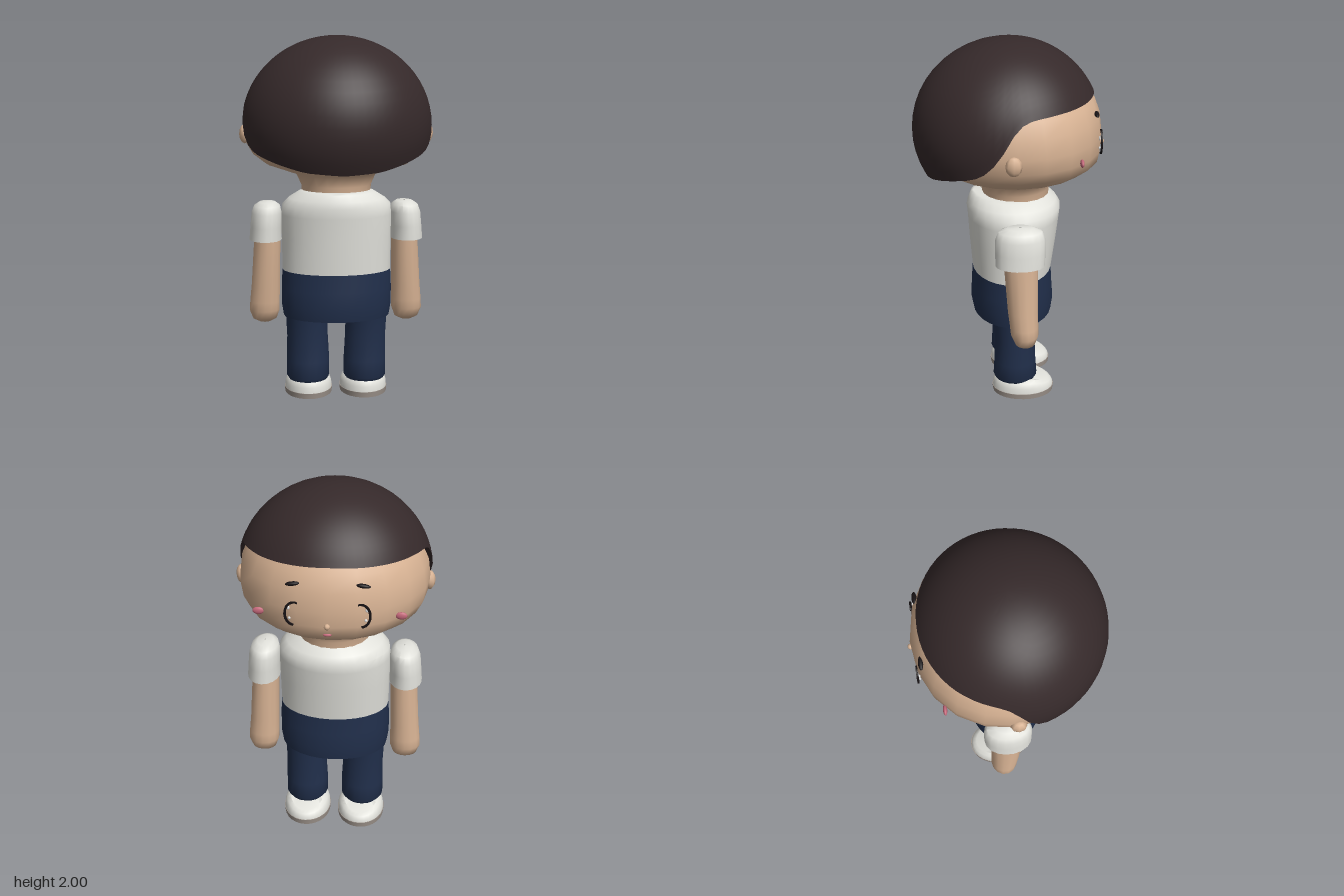
import * as THREE from 'three';
import { toCreasedNormals } from 'three/addons/utils/BufferGeometryUtils.js';

const mat = (name, color, side = THREE.FrontSide) => {
  const m = new THREE.MeshStandardMaterial({ color, side });
  m.name = name;
  return m;
};

// Closed loops of n points, stacked upwards; point(j, angle) gives [x, y, z]
function grid(rings, n, point, crease = 0.8, caps = true) {
  const pos = [], idx = [];
  for (let j = 0; j < rings; j++)
    for (let i = 0; i < n; i++) pos.push(...point(j, (i / n) * Math.PI * 2));
  for (let j = 0; j < rings - 1; j++)
    for (let i = 0; i < n; i++) {
      const a = j * n + i, b = j * n + (i + 1) % n;
      idx.push(a, b, b + n, a, b + n, a + n);
    }
  if (caps)
    for (let i = 1; i < n - 1; i++) {
      const t = (rings - 1) * n;
      idx.push(0, i + 1, i, t, t + i, t + i + 1);
    }
  const g = new THREE.BufferGeometry();
  g.setAttribute('position', new THREE.Float32BufferAttribute(pos, 3));
  g.setIndex(idx);
  return toCreasedNormals(g, crease);
}

// Elliptical sections: [y, centre x, centre z, radius x, radius z]
const loft = (rows, n = 24, crease = 0.8, caps = true) => grid(rows.length, n, (j, a) => {
  const [y, cx, cz, rx, rz] = rows[j];
  return [cx + rx * Math.sin(a), y, cz + rz * Math.cos(a)];
}, crease, caps);

// Hairline height by angle from the back of the head (degrees)
const HAIRLINE = [[0, 1.29], [25, 1.305], [43, 1.34], [66, 1.39], [76, 1.44], [84, 1.54],
  [90, 1.63], [96, 1.68], [103, 1.70], [120, 1.71], [180, 1.725]];
function hairline(a) {
  const d = THREE.MathUtils.radToDeg(Math.min(a, Math.PI * 2 - a));
  for (let k = 1; k < HAIRLINE.length; k++) {
    const [d0, y0] = HAIRLINE[k - 1], [d1, y1] = HAIRLINE[k];
    if (d <= d1 + 1e-6) return y0 + (y1 - y0) * (d - d0) / (d1 - d0);
  }
  return 1.725;
}

export function createModel() {
  const model = new THREE.Group();
  model.name = 'character';
  const hair = mat('hair brown', 0x35292a, THREE.DoubleSide);
  const skin = mat('skin', 0xd8b394);
  const shirt = mat('shirt white', 0xe2e2dc, THREE.DoubleSide);
  const navy = mat('trouser navy', 0x212f4b);
  const sole = mat('sole taupe', 0x9c928a);
  const dark = mat('eye black', 0x171214);
  const pink = mat('blush pink', 0xc4687a);
  const white = mat('highlight white', 0xf4f4f4);

  const add = (name, geo, m) => {
    const mesh = new THREE.Mesh(geo, m);
    mesh.name = name;
    model.add(mesh);
    return mesh;
  };
  const blob = (name, m, r, p, w = 14, h = 10) => {
    const mesh = add(name, new THREE.SphereGeometry(1, w, h), m);
    mesh.scale.set(...r);
    mesh.position.set(...p);
    return mesh;
  };

  // Head and neck
  add('head', loft([
    [1.14, 0, -0.035, 0.19, 0.18], [1.19, 0, -0.035, 0.193, 0.185], [1.25, 0, -0.035, 0.22, 0.2],
    [1.31, 0, -0.03, 0.39, 0.38], [1.36, 0, -0.025, 0.455, 0.455], [1.42, 0, -0.02, 0.49, 0.472],
    [1.5, 0, -0.02, 0.503, 0.475], [1.6, 0, -0.015, 0.49, 0.468], [1.68, 0, -0.015, 0.455, 0.438],
    [1.74, 0, -0.01, 0.415, 0.4], [1.82, 0, 0, 0.34, 0.32], [1.9, 0, 0, 0.2, 0.2]], 20, 1.3), skin);

  // Hair cap with a turned-in lip along the hairline
  const rows = 18;
  add('hair', grid(rows, 64, (j, a) => {
    const low = Math.asin((hairline(a) - 1.52) / 0.48);
    const t = Math.max(0, j - 1) / (rows - 2);
    const e = low + (Math.PI / 2 - low) * t;
    const r = 0.515 * Math.cos(e) - (j === 0 ? 0.045 : 0);
    const z = r * Math.cos(a);
    return [r * Math.sin(a), 1.52 + 0.48 * Math.sin(e) + (j === 0 ? 0.008 : 0), z < 0 ? z * 0.955 : z];
  }, 0.9, false), hair);

  // Face centre
  blob('nose', skin, [0.016, 0.016, 0.016], [0, 1.43, -0.497], 8, 6);
  blob('mouth', pink, [0.022, 0.008, 0.008], [0, 1.378, -0.482]);

  // Torso
  add('shirt', loft([
    [0.72, 0, -0.015, 0.3, 0.218], [0.9, 0, -0.02, 0.303, 0.238], [1.03, 0, -0.024, 0.305, 0.25],
    [1.085, 0, -0.024, 0.3, 0.256], [1.12, 0, -0.018, 0.265, 0.24], [1.155, 0, -0.004, 0.21, 0.212],
    [1.163, 0, -0.004, 0.19, 0.2]], 28), shirt);
  add('shorts', loft([
    [0.46, 0, -0.018, 0.295, 0.218], [0.53, 0, -0.016, 0.306, 0.23],
    [0.62, 0, -0.015, 0.306, 0.224], [0.721, 0, -0.015, 0.301, 0.219]], 28), navy);

  for (const s of [1, -1]) {
    const side = s > 0 ? 'left' : 'right';

    // Ears, cheeks and brows
    blob(side + 'Ear', skin, [0.03, 0.052, 0.043], [s * 0.5, 1.473, 0], 8, 6);
    blob(side + 'Cheek', pink, [0.03, 0.02, 0.011], [s * 0.362, 1.435, -0.355]);
    blob(side + 'Brow', dark, [0.036, 0.011, 0.013], [s * 0.175, 1.636, -0.446]).rotation.z = -s * 0.12;

    // Eyes: thin crescents with two highlights
    const pts = [];
    const steps = 16;
    const arc = (k, rx, ry, dx) => {
      const a = THREE.MathUtils.degToRad(-85 + 195 * k / steps);
      pts.push(new THREE.Vector2(s * (0.168 + dx + rx * Math.cos(a)), 1.485 + ry * Math.sin(a)));
    };
    for (let k = 0; k <= steps; k++) arc(k, 0.05, 0.066, 0);
    for (let k = steps; k >= 0; k--) arc(k, 0.042, 0.058, -0.004);
    const eye = add(side + 'Eye', new THREE.ExtrudeGeometry(new THREE.Shape(pts),
      { depth: 0.009, bevelEnabled: false }), dark);
    eye.position.z = -0.477;
    blob(side + 'EyeGlintUpper', white, [0.009, 0.011, 0.005], [s * 0.196, 1.512, -0.462]);
    blob(side + 'EyeGlintLower', white, [0.007, 0.008, 0.005], [s * 0.19, 1.457, -0.464]);

    // Sleeve, open at the hem
    add(side + 'Sleeve', loft([
      [0.9, s * 0.392, -0.04, 0.075, 0.115], [0.887, s * 0.392, -0.04, 0.09, 0.13],
      [0.96, s * 0.39, -0.04, 0.086, 0.131], [1.035, s * 0.385, -0.04, 0.084, 0.13],
      [1.075, s * 0.382, -0.04, 0.072, 0.115], [1.094, s * 0.38, -0.04, 0.045, 0.07],
      [1.098, s * 0.38, -0.04, 0.004, 0.006]], 18, 0.9, false), shirt);

    // Arm tapering into a mitten-like hand
    add(side + 'Arm', loft([
      [0.412, s * 0.4, -0.068, 0.03, 0.025], [0.43, s * 0.4, -0.067, 0.066, 0.055],
      [0.48, s * 0.401, -0.065, 0.085, 0.074], [0.53, s * 0.399, -0.062, 0.084, 0.076],
      [0.62, s * 0.394, -0.055, 0.08, 0.08], [0.88, s * 0.383, -0.045, 0.074, 0.09],
      [1.0, s * 0.38, -0.04, 0.07, 0.09]], 14, 0.9), skin);

    // Trouser leg
    add(side + 'Leg', loft([
      [0.09, s * 0.16, -0.027, 0.108, 0.112], [0.108, s * 0.16, -0.027, 0.119, 0.122],
      [0.2, s * 0.16, -0.026, 0.119, 0.116], [0.34, s * 0.163, -0.025, 0.114, 0.11],
      [0.48, s * 0.168, -0.02, 0.116, 0.124]], 20), navy);

    // Shoe: flat sole and an upper that slopes down to the toe
    add(side + 'Sole', loft([
      [0, s * 0.156, -0.072, 0.132, 0.17], [0.03, s * 0.156, -0.072, 0.135, 0.174]], 28), sole);
    const upper = [[0.03, 0.132, 0.17], [0.06, 0.13, 0.168], [0.088, 0.119, 0.158], [0.103, 0.1, 0.138]];
    add(side + 'Shoe', grid(upper.length, 28, (j, a) => {
      const [y, rx, rz] = upper[j];
      const z = -0.072 + rz * Math.cos(a);
      const drop = THREE.MathUtils.clamp((-0.12 - z) / 0.12, 0, 1) * 0.5;
      return [s * 0.156 + rx * Math.sin(a), 0.03 + (y - 0.03) * (1 - drop), z];
    }), shirt);
  }
  return model;
}
